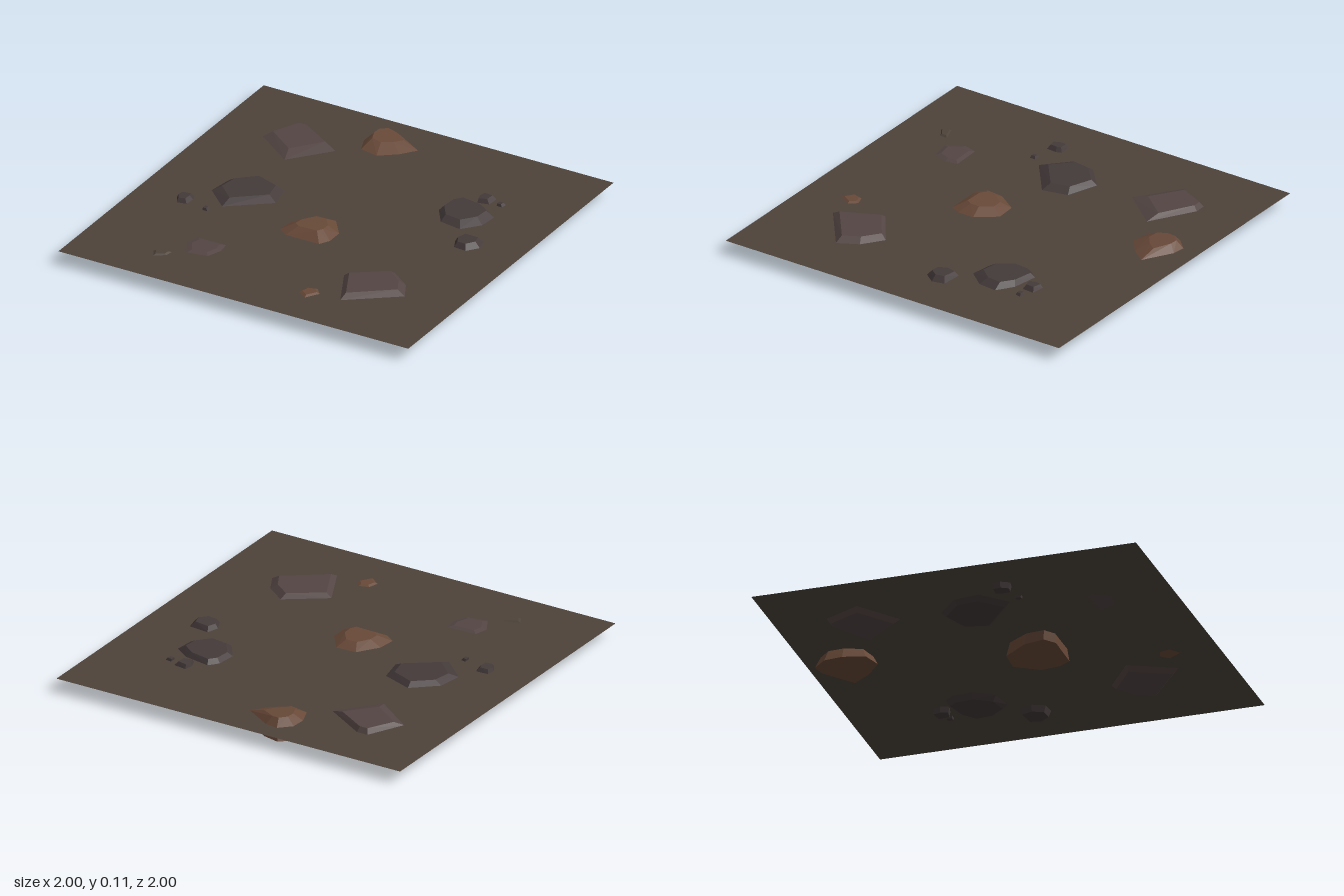
import * as THREE from 'three';
import { ConvexGeometry } from 'three/addons/geometries/ConvexGeometry.js';

const GROUND_Y = 0.068;
const mat = (color) => new THREE.MeshStandardMaterial({ color, roughness: 1, flatShading: true });

// Faceted stone: outline [x, z] at ground level, a smaller crown above and a buried base below.
// crown/base: { y, s: scale, tx, tz: tilt, dx, dz: shift }
function stone(name, material, outline, crown, base) {
  const n = outline.length;
  const cx = outline.reduce((a, p) => a + p[0], 0) / n;
  const cz = outline.reduce((a, p) => a + p[1], 0) / n;
  const ring = ({ y, s, tx = 0, tz = 0, dx = 0, dz = 0 }) => outline.map(([x, z]) => {
    const ox = (x - cx) * s, oz = (z - cz) * s;
    return new THREE.Vector3(cx + dx + ox, y + tx * ox + tz * oz, cz + dz + oz);
  });
  const points = [...ring({ y: GROUND_Y, s: 1 }), ...ring(crown), ...ring(base)];
  const mesh = new THREE.Mesh(new ConvexGeometry(points), material);
  mesh.name = name;
  return mesh;
}

export function createModel() {
  const group = new THREE.Group();
  group.name = 'stonyGround';
  const earth = mat(0x4d433a), rust = mat(0x684938), slate = mat(0x534543), dark = mat(0x443a3a);
  earth.side = THREE.DoubleSide;

  // Flat ground sheet
  const ground = new THREE.Mesh(new THREE.PlaneGeometry(2, 2).rotateX(-Math.PI / 2), earth);
  ground.position.y = GROUND_Y;
  ground.name = 'ground';
  group.add(ground);

  // Humped rust-coloured boulders with wide buried bases
  group.add(stone('backBoulder', rust,
    [[-0.22, -0.9], [-0.15, -0.89], [0, -0.8], [-0.06, -0.72], [-0.15, -0.65], [-0.25, -0.67], [-0.285, -0.76], [-0.28, -0.84]],
    { y: 0.104, s: 0.55, tx: -0.07, tz: -0.02, dx: -0.01, dz: -0.02 },
    { y: 0.014, s: 1.2, tx: 0.05, tz: 0.03, dx: -0.01 }));
  group.add(stone('middleBoulder', rust,
    [[-0.09, 0.04], [0.02, 0.035], [0.1, 0.14], [0.1, 0.23], [0.07, 0.285], [-0.12, 0.285], [-0.175, 0.245], [-0.165, 0.15]],
    { y: 0.1, s: 0.55, tx: 0.02, tz: 0.04, dz: -0.01 },
    { y: 0.011, s: 1.1, tx: -0.03, tz: 0.06, dx: 0.02, dz: -0.01 }));

  // Flat slabs
  group.add(stone('backSlab', slate,
    [[-0.64, -0.73], [-0.58, -0.73], [-0.35, -0.59], [-0.52, -0.385], [-0.735, -0.54]],
    { y: 0.092, s: 0.72, tz: -0.02, dx: -0.01, dz: -0.02 }, { y: 0.045, s: 0.85 }));
  group.add(stone('frontSlab', slate,
    [[0.545, 0.355], [0.655, 0.435], [0.71, 0.54], [0.455, 0.735], [0.34, 0.5]],
    { y: 0.092, s: 0.8, tx: 0.01, dx: -0.01 }, { y: 0.045, s: 0.85 }));

  // Dark rounded rocks
  group.add(stone('rightRock', dark,
    [[-0.525, -0.17], [-0.36, -0.11], [-0.33, 0.025], [-0.54, 0.19], [-0.67, 0.07], [-0.65, -0.06]],
    { y: 0.092, s: 0.74, tx: 0.015, dz: -0.01 }, { y: 0.045, s: 0.85 }));
  group.add(stone('leftRock', dark,
    [[0.45, -0.475], [0.59, -0.45], [0.675, -0.39], [0.665, -0.29], [0.59, -0.2], [0.47, -0.22], [0.4, -0.32], [0.41, -0.425]],
    { y: 0.093, s: 0.76, tx: 0.02, dx: -0.01, dz: -0.01 }, { y: 0.042, s: 0.85, tx: 0.03 }));

  // Small dark stones
  const smallStones = [
    ['leftStone', [[0.65, -0.155], [0.69, -0.13], [0.76, -0.145], [0.775, -0.08], [0.73, -0.02], [0.66, -0.025], [0.63, -0.09]], 0.093, 0.035],
    ['leftPebble', [[0.52, -0.57], [0.59, -0.56], [0.585, -0.495], [0.525, -0.48], [0.51, -0.525]], 0.088, 0.038],
    ['leftChip', [[0.625, -0.535], [0.66, -0.53], [0.655, -0.5], [0.625, -0.5]], 0.08, 0.055],
    ['rightPebble', [[-0.775, 0.175], [-0.71, 0.17], [-0.7, 0.2], [-0.705, 0.255], [-0.755, 0.265], [-0.78, 0.22]], 0.088, 0.038],
    ['rightChip', [[-0.605, 0.235], [-0.578, 0.24], [-0.578, 0.27], [-0.605, 0.27]], 0.08, 0.055],
  ];
  for (const [name, outline, top, bottom] of smallStones) {
    group.add(stone(name, dark, outline, { y: top, s: 0.7, tx: 0.05, dx: -0.005 }, { y: bottom, s: 0.85 }));
  }

  // Thin flakes lying on the surface
  const flakes = [
    ['rightFlake', slate, [[-0.48, 0.53], [-0.32, 0.525], [-0.31, 0.59], [-0.34, 0.67], [-0.45, 0.69], [-0.5, 0.6]]],
    ['rightSmallFlake', earth, [[-0.6, 0.755], [-0.515, 0.725], [-0.52, 0.765], [-0.575, 0.8]]],
    ['leftFlake', rust, [[0.25, 0.705], [0.3, 0.69], [0.335, 0.73], [0.29, 0.8], [0.235, 0.76]]],
  ];
  for (const [name, material, outline] of flakes) {
    group.add(stone(name, material, outline, { y: 0.075, s: 0.7 }, { y: 0.0685, s: 0.9 }));
  }
  return group;
}
